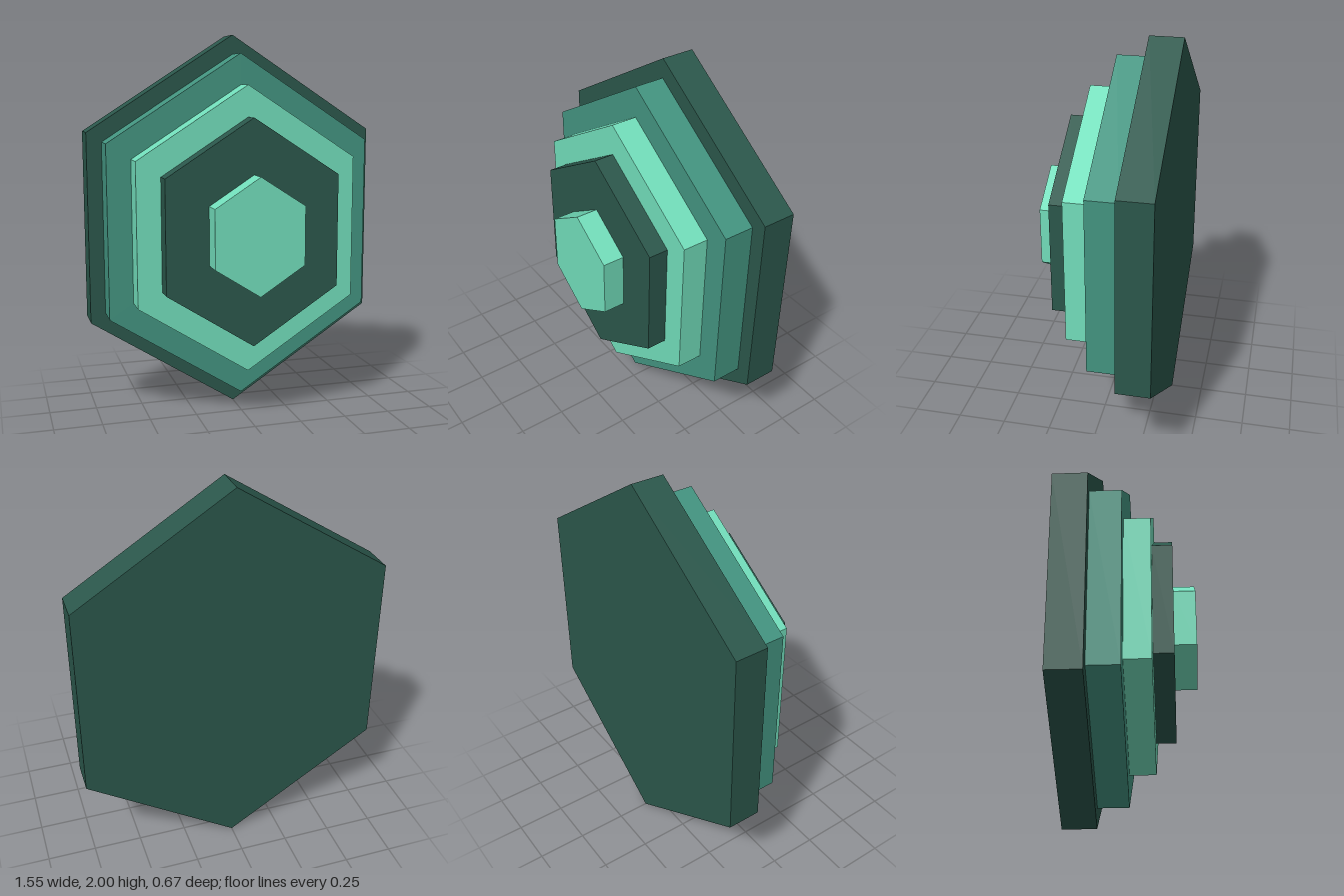
import * as THREE from 'three';

const DARK = 0x2b574b, MID = 0x439480, LIGHT = 0x72debb;

// Stacked hexagonal plates, back to front: name, half height, back z, front z, colour
const PLATES = [
  ['backPlate', 1.0, -0.335, -0.165, DARK],
  ['secondPlate', 0.9, -0.165, -0.01, MID],
  ['middlePlate', 0.74, -0.01, 0.122, LIGHT],
  ['fourthPlate', 0.58, 0.122, 0.223, DARK],
  ['frontStud', 0.298, 0.223, 0.335, LIGHT],
];
const HALF_WIDTH = 0.777; // half width of a plate relative to its half height

// Six-sided prism with a corner pointing up, facing +z
function hexPlate(name, radius, z0, z1, color) {
  const geometry = new THREE.CylinderGeometry(radius, radius, z1 - z0, 6);
  geometry.rotateX(Math.PI / 2);
  geometry.scale(HALF_WIDTH / Math.sin(Math.PI / 3), 1, 1);
  const mesh = new THREE.Mesh(geometry, new THREE.MeshStandardMaterial({ color, flatShading: true }));
  mesh.name = name;
  mesh.position.set(0, 1, (z0 + z1) / 2);
  return mesh;
}

export function createModel() {
  const model = new THREE.Group();
  model.name = 'steppedHexagon';
  for (const plate of PLATES) model.add(hexPlate(...plate));
  return model;
}
